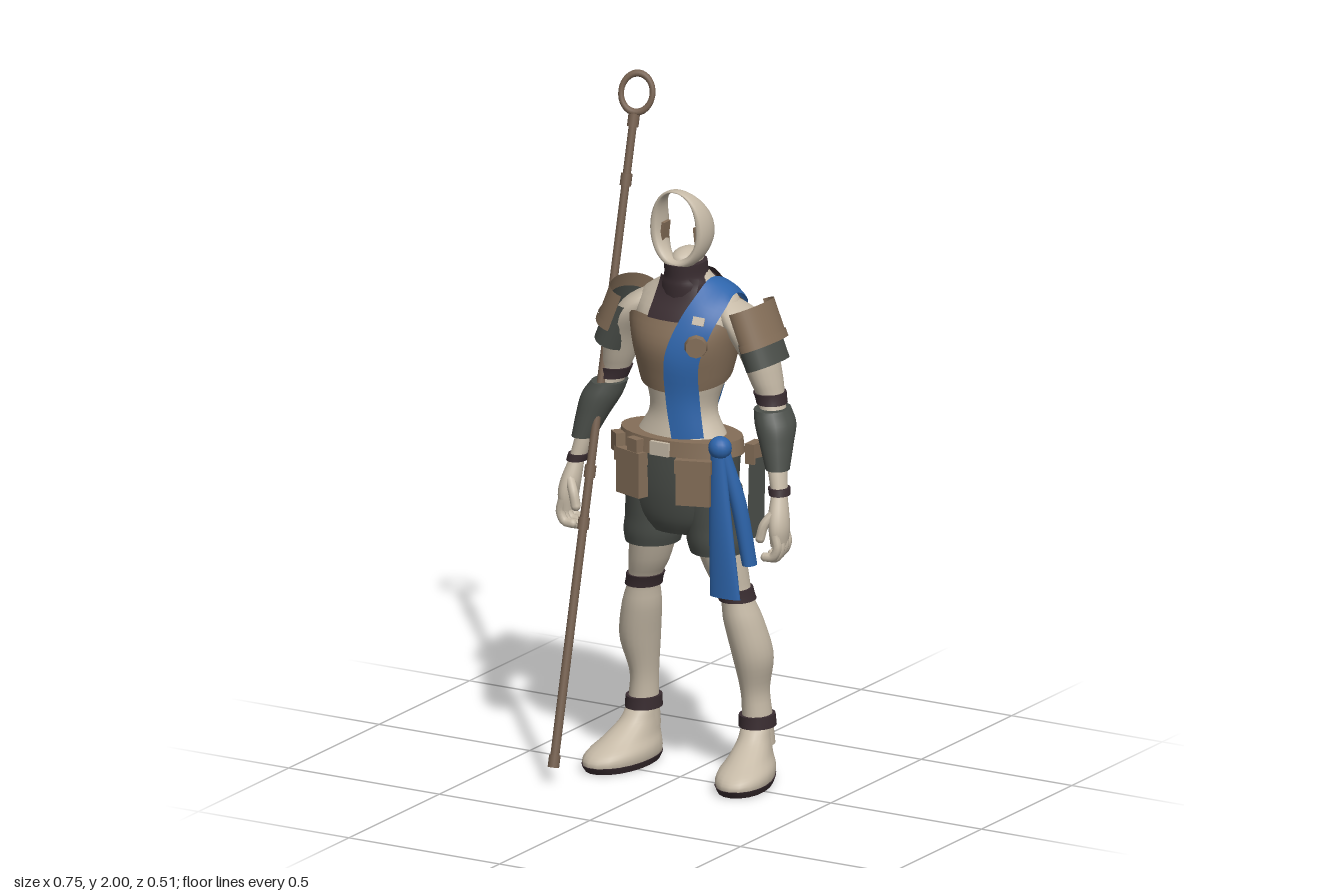
import * as THREE from 'three';

const mat = (name, color) => new THREE.MeshStandardMaterial({ name, color, side: THREE.DoubleSide });
const M = {
  skin: mat('bone', 0xc6baa7), leather: mat('leather', 0x846e58), cloth: mat('greyCloth', 0x4a4e49),
  dark: mat('darkWrap', 0x3a2d31), blue: mat('blueCloth', 0x2d64aa), wood: mat('staffWood', 0x776251),
};

function mesh(parent, name, geo, material, p = [0, 0, 0], r = [0, 0, 0]) {
  const m = new THREE.Mesh(geo, material);
  m.name = name;
  m.position.set(...p);
  m.rotation.set(...r);
  parent.add(m);
  return m;
}
const box = (w, h, d) => new THREE.BoxGeometry(w, h, d);

// Grid surface from f(u, v) -> [x, y, z]; closeU / closeV join the edges without a seam.
function grid(f, nu, nv, closeU = false, closeV = false, caps = false) {
  const pos = [], idx = [], cu = closeU ? nu : nu + 1, rows = closeV ? nv : nv + 1;
  for (let j = 0; j < rows; j++) for (let i = 0; i < cu; i++) pos.push(...f(i / nu, j / nv));
  for (let j = 0; j < nv; j++) for (let i = 0; i < nu; i++) {
    const a = j * cu + i, b = j * cu + (i + 1) % cu;
    const k = (j + 1) % rows, c = k * cu + i, d = k * cu + (i + 1) % cu;
    idx.push(a, c, b, b, c, d);
  }
  if (caps) for (const v of [0, 1]) {
    const s = pos.length / 3, mid = [0, 0, 0];
    for (let i = 0; i < nu; i++) {
      const p = f(i / nu, v);
      pos.push(...p);
      p.forEach((q, k) => { mid[k] += q / nu; });
    }
    pos.push(...mid);
    for (let i = 0; i < nu; i++) {
      const n = s + (i + 1) % nu;
      if (v) idx.push(s + nu, n, s + i); else idx.push(s + nu, s + i, n);
    }
  }
  const g = new THREE.BufferGeometry();
  g.setAttribute('position', new THREE.Float32BufferAttribute(pos, 3));
  g.setIndex(idx);
  g.computeVertexNormals();
  return g;
}

// Sections are [y, x, z, radiusX, radiusZ] with rising y; at() blends smoothly between them.
function at(S, y) {
  let i = 0;
  while (i < S.length - 2 && y > S[i + 1][0]) i++;
  const a = S[Math.max(i - 1, 0)], b = S[i], c = S[i + 1], d = S[Math.min(i + 2, S.length - 1)];
  const h = c[0] - b[0], t = Math.min(1, Math.max(0, (y - b[0]) / h));
  return b.map((q, k) => {
    const m0 = (c[k] - a[k]) / (c[0] - a[0]) * h, m1 = (d[k] - q) / (d[0] - b[0]) * h;
    const t2 = t * t, t3 = t2 * t;
    return (2 * t3 - 3 * t2 + 1) * q + (t3 - 2 * t2 + t) * m0 + (3 * t2 - 2 * t3) * c[k] + (t3 - t2) * m1;
  });
}
function loft(S, { s = 1, off = 0, y0 = S[0][0], y1 = S[S.length - 1][0], n = 20, rows = 18, taper = 0 } = {}) {
  return grid((u, v) => {
    const y = y0 + (y1 - y0) * v, [, x, z, rx, rz] = at(S, y), a = u * Math.PI * 2;
    const c = Math.cos(a), d = Math.sin(a);
    return [s * x + (rx + off) * c * (1 + taper * d), y, z + (rz + off) * d];
  }, n, rows, true, false, true);
}

const TORSO = [[.98, 0, -.01, .17, .1], [1.03, 0, -.015, .135, .092], [1.1, 0, -.02, .1, .085], [1.2, 0, -.03, .126, .108],
  [1.3, 0, -.035, .148, .123], [1.38, 0, -.052, .165, .106], [1.43, 0, -.063, .146, .084], [1.47, 0, -.057, .083, .064], [1.5, 0, -.045, .055, .058]];
const HIPS = [[.74, 0, -.02, .1, .08], [.78, 0, -.02, .15, .1], [.85, 0, -.015, .175, .11], [.92, 0, -.01, .18, .112], [1, 0, -.01, .187, .115]];
const LEG = [[.1, .19, -.115, .046, .056], [.19, .188, -.112, .041, .05], [.26, .184, -.108, .038, .052], [.37, .187, -.09, .056, .067],
  [.48, .168, -.068, .055, .063], [.555, .152, -.055, .044, .053], [.62, .13, -.045, .057, .066], [.74, .1, -.03, .07, .08]];
const SHORT = [[.685, .108, -.03, .078, .086], [.72, .105, -.028, .084, .092], [.77, .1, -.025, .081, .093], [.87, .095, -.02, .08, .1]];
const FOOT = [[0, 0, 0, .066, .136], [.025, 0, 0, .075, .15], [.05, 0, -.008, .074, .14], [.08, 0, -.035, .058, .11],
  [.12, 0, -.07, .046, .074], [.155, 0, -.084, .042, .054]];
const ARM = [[.89, .338, .012, .022, .027], [.98, .315, -.01, .028, .032], [1.08, .283, -.052, .036, .042], [1.15, .26, -.07, .038, .043],
  [1.2, .245, -.07, .045, .055], [1.28, .22, -.065, .052, .068], [1.35, .182, -.062, .056, .078], [1.395, .15, -.062, .048, .066], [1.425, .125, -.062, .02, .034]];
const GUARD = [[.965, .322, -.002, .034, .037], [1.03, .305, -.025, .047, .052], [1.085, .288, -.047, .057, .065], [1.125, .27, -.06, .05, .062]];
const PALM = [[.755, .35, .035, .021, .035], [.8, .35, .035, .027, .04], [.84, .345, .03, .028, .036], [.9, .336, .012, .021, .026]];

// Depth of the torso surface at x, y on the front (sign 1) or back (sign -1)
function surfaceZ(x, y, sign, off) {
  const [, , cz, rx, rz] = at(TORSO, y);
  return cz + sign * (rz + off) * Math.sqrt(Math.max(.12, 1 - (x / (rx + off)) ** 2));
}

function buildTorso(g) {
  mesh(g, 'torso', loft(TORSO, { n: 28, rows: 30 }), M.skin);
  // Chest armour, cut low at the arms, with a slanted higher edge at the back
  mesh(g, 'chestArmour', grid((u, v) => {
    const a = u * Math.PI * 2, c = Math.cos(a), s = Math.sin(a);
    const lo = 1.19 - .025 * s + .03 * c * Math.max(0, -s), hi = 1.395 - .018 * s - .07 * c ** 8, y = lo + (hi - lo) * v;
    const [, , z, rx, rz] = at(TORSO, y), off = .012 + .006 * v;
    return [(rx + off) * c, y, z + (rz + off) * s];
  }, 40, 10, true), M.leather);
  // Collar with front and back bibs
  for (const sign of [1, -1]) mesh(g, sign > 0 ? 'frontBib' : 'backBib', grid((u, v) => {
    const x = (u - .5) * .14 * sign * (1 - .1 * v), y = 1.375 + .115 * v;
    return [x, y, surfaceZ(x, y, sign, .019)];
  }, 10, 8), M.dark);
  mesh(g, 'collar', loft([[1.43, 0, -.062, .088, .1], [1.47, 0, -.05, .076, .09], [1.49, 0, -.037, .061, .076], [1.53, 0, -.03, .057, .074]]), M.dark);
  // Shoulder sash rows: inner x, inner y, outer x, outer y, side, lift (or plain z when side is 0)
  const rows = [[.03, 1.035, .115, 1.04, 1, .025], [.01, 1.15, .1, 1.15, 1, .028], [.012, 1.28, .105, 1.26, 1, .02], [.04, 1.38, .135, 1.36, 1, .024],
    [.065, 1.445, .15, 1.415, 1, .022], [.075, 1.485, .155, 1.45, 0, -.07], [.07, 1.445, .15, 1.41, -1, .022],
    [.045, 1.37, .135, 1.34, -1, .009], [0, 1.28, .1, 1.25, -1, .008], [-.04, 1.2, .065, 1.16, 0, -.172], [-.085, 1.07, .025, 1.04, 0, -.172]];
  const strands = [0, .2, .4, .6, .8, 1].map(t => new THREE.CatmullRomCurve3(rows.map(([a, b, c, d, side, lift]) => {
    const x = a + (c - a) * t, y = b + (d - b) * t;
    return new THREE.Vector3(x, y, side ? surfaceZ(x, y, side, lift) : lift + .1 * (t - .5) ** 2);
  })));
  mesh(g, 'shoulderSash', grid((u, v) => strands[Math.round(u * 5)].getPoint(v).toArray(), 5, 50), M.blue);
  mesh(g, 'sashBrooch', new THREE.CylinderGeometry(.03, .034, .02, 10), M.leather, [.103, 1.315, .085], [Math.PI / 2, 0, -.5]);
  mesh(g, 'sashClasp', box(.034, .024, .009), M.skin, [.097, 1.385, surfaceZ(.097, 1.385, 1, .028)], [-.4, .4, 0]);
}

function buildHead(g) {
  mesh(g, 'neckStump', new THREE.SphereGeometry(1, 20, 14), M.skin, [0, 1.535, -.04]).scale.set(.042, .033, .062);
  // Hollow hood rim: rounded cross-section swept round the face opening
  mesh(g, 'hoodRim', grid((u, v) => {
    const a = v * Math.PI * 2, c = Math.cos(a), s = Math.sin(a), low = Math.max(0, -s), side = Math.abs(c);
    const q = u * Math.PI * 2, thick = .007 + .028 * side ** 2 + .02 * low ** 2;
    const w = .5 + .5 * Math.cos(q);
    const front = .038 - .006 * side, back = .002 - .057 * side ** 2 - .01 * low;
    return [c * (.093 - thick + thick * w), 1.63 + s * ((s > 0 ? .12 : .115) - thick + thick * w),
      (front + back) / 2 + (front - back) / 2 * Math.sin(q)];
  }, 12, 48, true, true), M.skin);
  for (const s of [1, -1]) mesh(g, 'cheekPlate', box(.009, .07, .036), M.leather, [s * .056, 1.608, -.008], [0, 0, s * .12]);
}

function buildLimbs(g, s) {
  const side = s > 0 ? 'left' : 'right';
  const add = (name, geo, m, p, r) => mesh(g, side + name, geo, m, p, r);
  // Leg, wraps and foot
  add('Leg', loft(LEG, { s, rows: 30 }), M.skin);
  add('ShortsLeg', loft(SHORT, { s }), M.cloth);
  add('KneeBand', loft(LEG, { s, y0: .54, y1: .575, off: .007, rows: 2 }), M.dark);
  add('AnkleBand', loft(LEG, { s, y0: .155, y1: .19, off: .009, rows: 2 }), M.dark);
  add('Foot', loft(FOOT, { y0: .018, taper: .15 }), M.skin, [s * .205, 0, -.028], [0, s * .2, 0]);
  add('Sole', loft(FOOT, { y0: 0, y1: .02, off: .003, rows: 3, taper: .15 }), M.dark, [s * .205, 0, -.028], [0, s * .2, 0]);
  // Arm, bands and guards
  add('Arm', loft(ARM, { s, rows: 36 }), M.skin);
  add('ElbowBand', loft(ARM, { s, y0: 1.137, y1: 1.168, off: .006, rows: 2 }), M.dark);
  add('ForearmGuard', loft(GUARD, { s }), M.cloth);
  add('WristBand', loft(ARM, { s, y0: .895, y1: .915, off: .007, rows: 2 }), M.dark);
  // Outer shoulder pad over a grey sleeve
  const shell = (w, d, h, arc) => new THREE.CylinderGeometry(1, 1, h, 24, 1, true, s * Math.PI / 2 - arc / 2, arc).scale(w, 1, d);
  add('Sleeve', shell(.055, .084, .14, Math.PI * 1.6), M.cloth, [s * .226, 1.313, -.065], [0, 0, s * .38]);
  add('ShoulderPad', shell(.06, .097, .115, Math.PI * 1.15), M.leather, [s * .213, 1.36, -.065], [0, 0, s * .38]);
  add('PadTrim', shell(.064, .101, .022, Math.PI * 1.15), M.leather, [s * .231, 1.315, -.065], [0, 0, s * .38]);
  // Hand with curled fingers and thumb
  add('Palm', loft(PALM, { s }), M.skin);
  const digit = (name, pts, r) => {
    const path = pts.map(([x, y, z]) => new THREE.Vector3(s * x, y, z));
    add(name, new THREE.TubeGeometry(new THREE.CatmullRomCurve3(path), 10, r, 8), M.skin);
    add(name + 'Tip', new THREE.SphereGeometry(r, 8, 6), M.skin, path[path.length - 1].toArray());
  };
  for (let i = 0; i < 4; i++) {
    const z = .007 + i * .019, d = Math.abs(i - 2) * .006;
    digit('Finger', [[.352, .79, z], [.36, .745 + d, z], [.345, .717 + d, z], [.32, .714 + d, z]], .0135);
  }
  digit('Thumb', [[.34, .85, .045], [.317, .815, .064], [.306, .775, .068]], .0145);
}

function buildWaist(g) {
  mesh(g, 'shorts', loft(HIPS, { n: 28 }), M.cloth);
  mesh(g, 'belt', loft([[.985, 0, -.01, .197, .122], [1.03, 0, -.01, .19, .117]], { n: 32, rows: 2 }), M.leather);
  mesh(g, 'buckle', box(.06, .04, .012), M.skin, [0, 1.005, .113]);
  for (const s of [1, -1]) {
    mesh(g, 'hipPouch', box(.1, .13, .035), M.leather, [s * .103, .915, .096], [0, s * .32, 0]);
    mesh(g, 'pouchFlap', box(.106, .04, .042), M.leather, [s * .103, .965, .096], [0, s * .32, 0]);
  }
  for (const [x, z, r] of [[-.16, .077, -.7], [-.085, .107, -.35]]) mesh(g, 'smallPouch', box(.043, .056, .028), M.leather, [x, .995, z], [0, r, 0]);
  mesh(g, 'backPouch', box(.06, .08, .05), M.cloth, [-.085, .98, -.143], [0, .2, 0]);
  mesh(g, 'sheath', box(.022, .26, .055), M.cloth, [.222, .87, -.052], [-.12, 0, .05]);
  mesh(g, 'sheathLoop', box(.03, .06, .055), M.leather, [.213, .985, -.055]);
  // Knotted waist sash with two hanging tails
  mesh(g, 'sashKnot', new THREE.SphereGeometry(.034, 16, 12), M.blue, [.168, 1.02, .06]);
  mesh(g, 'frontTail', loft([[.58, .19, .068, .05, .014], [.8, .176, .07, .037, .017], [1.01, .165, .068, .022, .016]]), M.blue);
  mesh(g, 'sideTail', loft([[.67, .235, .008, .02, .026], [.85, .212, .03, .022, .026], [1.01, .175, .055, .02, .02]]), M.blue);
}

function buildStaff(g) {
  // Built upright, then leaned back as one piece
  const staff = new THREE.Group();
  staff.name = 'staff';
  staff.position.set(-.277, .05, .24);
  staff.rotation.x = -.24;
  g.add(staff);
  mesh(staff, 'shaft', new THREE.CylinderGeometry(.0115, .013, 1.88, 12), M.wood, [0, .94, 0]);
  for (const y of [.015, .7, .85, 1.69, 1.86]) mesh(staff, 'staffCollar', new THREE.CylinderGeometry(.0165, .0165, .035, 12), M.wood, [0, y, 0]);
  const ring = mesh(staff, 'staffRing', new THREE.TorusGeometry(.046, .0085, 10, 32), M.wood, [0, 1.94, 0], [0, .3, 0]);
  ring.scale.y = 1.22;
}

export function createModel() {
  const g = new THREE.Group();
  g.name = 'staffBearer';
  buildTorso(g);
  buildHead(g);
  for (const s of [1, -1]) buildLimbs(g, s);
  buildWaist(g);
  buildStaff(g);
  return g;
}
